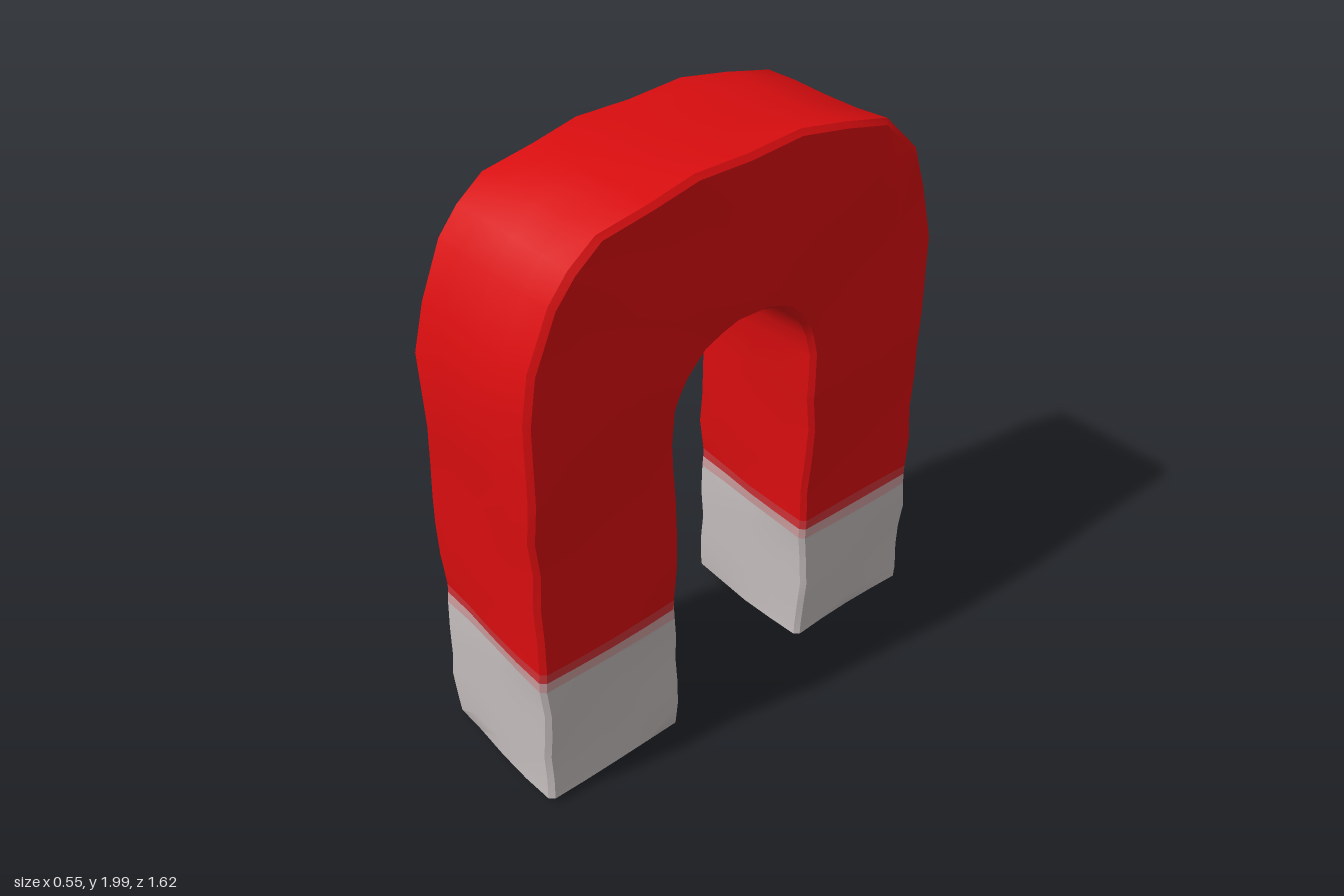
import * as THREE from 'three';
import { toCreasedNormals } from 'three/addons/utils/BufferGeometryUtils.js';

const flat = (name, color) => {
  const m = new THREE.MeshStandardMaterial({ color });
  m.name = name;
  return m;
};

// Arch stations: outer z, outer y, inner z, inner y, from front to back
const ARCH = [
  [.80, 1.2, .27, 1.15], [.797, 1.45, .265, 1.28], [.76, 1.6, .25, 1.33], [.69, 1.78, .23, 1.37],
  [.62, 1.86, .2, 1.4], [.53, 1.93, .16, 1.435], [.36, 1.965, .1, 1.46], [.2, 1.997, .04, 1.48],
  [0, 1.987, -.01, 1.478], [-.2, 1.997, -.07, 1.475], [-.38, 1.968, -.12, 1.455],
  [-.55, 1.935, -.16, 1.435], [-.63, 1.865, -.22, 1.38], [-.7, 1.8, -.255, 1.335],
  [-.76, 1.65, -.275, 1.29], [-.805, 1.47, -.285, 1.22], [-.802, 1.2, -.285, 1.1],
];

// Cross-section outline in (x, t) with t = 0 outside and 1 inside, corners bevelled
function outline() {
  const b = 0.03, steps = [b, .25, .5, .75, 1 - b], pts = [];
  for (const s of steps) pts.push([1, s]);
  for (const s of steps) pts.push([1 - 2 * s, 1]);
  for (const s of steps) pts.push([-1, 1 - s]);
  for (const s of steps) pts.push([-1 + 2 * s, 0]);
  return pts;
}
const OUTLINE = outline();

// Gentle hand-shaped unevenness
function wobble(x, y, z) {
  return [
    x + .006 * Math.sin(9 * y + 4 * z) + .004 * Math.sin(21 * y - 7 * z),
    y + .004 * Math.sin(13 * x + 5 * z) - (y < .9 && y > .3 ? .045 * x : 0),
    z + .004 * Math.sin(11 * y + 6 * x) + .003 * Math.sin(23 * y + 9 * x),
  ];
}

// One ring; inset narrows it at the feet
function ring([zo, yo, zi, yi, inset = 0]) {
  const k = 1 - inset;
  return OUTLINE.map(([x, t]) => {
    const s = .5 + (t - .5) * k;
    return wobble(x * .264 * k, yo + (yi - yo) * s, zo + (zi - zo) * s);
  });
}

// Skin joining successive rings, with optional end caps
function sweep(stations, capStart, capEnd) {
  const rings = stations.map(ring), n = OUTLINE.length, pos = [];
  const tri = (...p) => p.forEach((v) => pos.push(...v));
  for (let i = 0; i < rings.length - 1; i++) {
    for (let j = 0; j < n; j++) {
      const k = (j + 1) % n;
      const a = rings[i][j], b = rings[i][k], c = rings[i + 1][k], d = rings[i + 1][j];
      tri(a, b, c);
      tri(a, c, d);
    }
  }
  const cap = (r, flip) => {
    const c = [0, 1, 2].map((q) => r.reduce((s, p) => s + p[q], 0) / n);
    for (let j = 0; j < n; j++) {
      const k = (j + 1) % n;
      if (flip) tri(c, r[k], r[j]);
      else tri(c, r[j], r[k]);
    }
  };
  if (capStart) cap(rings[0], true);
  if (capEnd) cap(rings[rings.length - 1], false);
  const g = new THREE.BufferGeometry();
  g.setAttribute('position', new THREE.Float32BufferAttribute(pos, 3));
  return toCreasedNormals(g, 0.65);
}

export function createModel() {
  const group = new THREE.Group();
  const red = flat('red', 0xd80d0f);
  const silver = flat('silver', 0xc3bbbb);
  const palePink = flat('palePink', 0xcb9c9d);
  const softRed = flat('softRed', 0xcd3236);

  const add = (name, geometry, material) => {
    const mesh = new THREE.Mesh(geometry, material);
    mesh.name = name;
    group.add(mesh);
  };

  // Leg stations at given heights; front leg is +z
  const front = (y, inset) => [.80, y, .268, y, inset];
  const back = (y, inset) => [-.802, y, -.285, y, inset];

  // Horseshoe body
  const rise = [.58, .7, .82, .94, 1.06];
  add('redBody', sweep([
    ...rise.map((y) => front(y)), ...ARCH, ...rise.slice().reverse().map((y) => back(y)),
  ]), red);

  // Blended bands and pole tips on both legs
  const legs = [['front', front, .012], ['back', back, .038]];
  for (const [side, leg, foot] of legs) {
    const isFront = side === 'front';
    const order = (list) => (isFront ? list : list.reverse());
    add(side + 'UpperBand', sweep(order([leg(.545), leg(.58)])), softRed);
    add(side + 'LowerBand', sweep(order([leg(.505), leg(.545)])), palePink);
    const tip = [leg(foot, .05), leg(foot + .015, 0), leg(.1), leg(.2), leg(.29), leg(.4), leg(.505)];
    add(side + 'PoleTip', sweep(order(tip), isFront, !isFront), silver);
  }
  return group;
}
